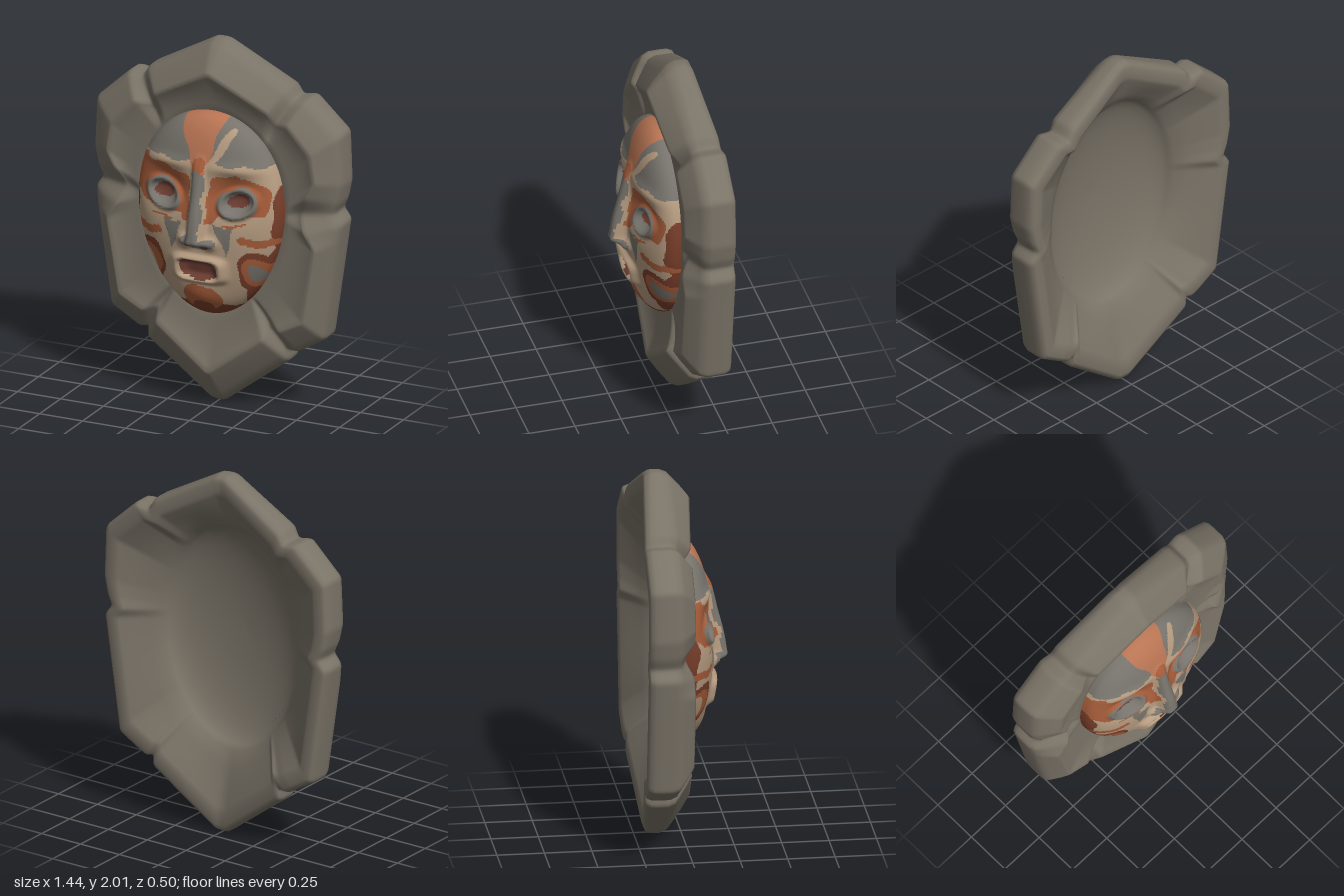
import * as THREE from 'three';

const mat = (name, color) => Object.assign(new THREE.MeshStandardMaterial({ color }), { name });
const MATS = [
  mat('stone', 0x7a7367), mat('greyPaint', 0x77736c), mat('salmonPaint', 0xb87453), mat('orangePaint', 0xa65c3a),
  mat('rustPaint', 0x783e2a), mat('beigePaint', 0xb59b80), mat('darkHollow', 0x6a3c31),
];
const [STONE, GREY, SALMON, ORANGE, RUST, BEIGE, DARK] = MATS.keys();
const CY = 1.07;
const { lerp, clamp, smoothstep } = THREE.MathUtils;
const gauss = (x, y, cx, cy, rx, ry) => Math.exp(-(((x - cx) / rx) ** 2) - ((y - cy) / ry) ** 2);
const faceWidth = (s) => 0.415 * Math.sqrt(Math.max(0, 1 - s * s)) * (1 + 0.12 * s);

// Stones of one half, bottom to top: outer x, y and ridge x, y
const HALF_STONES = [
  [[0.03, -0.005, 0.01, 0.2], [0.41, 0.28, 0.31, 0.42]],
  [[0.45, 0.33, 0.39, 0.47], [0.62, 0.43, 0.53, 0.54], [0.7, 0.98, 0.6, 0.95], [0.715, 1.08, 0.54, 1.04]],
  [[0.7, 1.2, 0.55, 1.23], [0.72, 1.3, 0.6, 1.32], [0.71, 1.575, 0.575, 1.475], [0.52, 1.75, 0.44, 1.62]],
  [[0.405, 1.795, 0.33, 1.675], [0.03, 2.005, 0.01, 1.845]],
];

// Closed rim path with a V groove between stones, resampled and softly rounded
function rimPath() {
  const half = [];
  HALF_STONES.forEach((stone, i) => {
    for (const p of stone) half.push([...p, 0.005 + 0.04 * smoothstep(Math.abs(p[3] - CY), 0.55, 0.78)]);
    const next = HALF_STONES[i + 1];
    if (!next) return;
    const [ox, oy, rx, ry] = stone.at(-1).map((v, k) => (v + next[0][k]) / 2);
    half.push([ox * 0.95, CY + (oy - CY) * 0.95, rx * 0.92, CY + (ry - CY) * 0.92, -0.045]);
  });
  const ctrl = [...half, ...half.map(([ox, oy, rx, ry, rz]) => [-ox, oy, -rx, ry, rz]).reverse()];
  let path = [];
  ctrl.forEach((a, i) => {
    const b = ctrl[(i + 1) % ctrl.length];
    const n = Math.max(2, Math.round(Math.hypot(a[0] - b[0], a[1] - b[1]) / 0.012));
    for (let k = 0; k < n; k++) path.push(a.map((v, c) => lerp(v, b[c], k / n)));
  });
  for (let pass = 0; pass < 2; pass++) {
    const n = path.length;
    path = path.map((p, i) => p.map((v, c) => (path[(i + n - 1) % n][c] + 2 * v + path[(i + 1) % n][c]) / 4));
  }
  return path;
}

// Stone surround: rings from the face edge, over the ridge and rim, into the hollow back
function buildSurround() {
  const columns = rimPath().map(([ox, oy, rx, ry, rz]) => {
    const a = Math.atan2((oy - CY) / 0.56, ox / 0.415);
    const s = Math.sin(a), ex = Math.sign(Math.cos(a)) * faceWidth(s), ey = CY + 0.56 * s;
    const zb = -0.2 - 0.05 * Math.min(1, Math.abs(ox) / 0.5);
    const col = [];
    const mix = (ax, ay, bx, by, t, z) => col.push([lerp(ax, bx, t), lerp(ay, by, t), z]);
    // front field
    mix(0, CY, ex, ey, 0.88, -0.06);
    for (const t of [0, 0.2, 0.45, 0.7, 0.9]) mix(ex, ey, rx, ry, t, rz * t - 0.032 * (1 - t ** 3));
    // ridge and chamfer
    for (const t of [0, 0.1, 0.4, 0.7, 0.9]) mix(rx, ry, ox, oy, t, lerp(rz, -0.09, t ** 1.15));
    // outer wall and rounded back edge
    mix(ox, oy, 0, CY, 0, -0.115);
    mix(ox, oy, 0, CY, 0, (-0.115 + zb) / 2);
    mix(ox, oy, 0, CY, 0.002, zb + 0.035);
    mix(ox, oy, 0, CY, 0.015, zb + 0.01);
    mix(ox, oy, 0, CY, 0.04, zb);
    mix(ox, oy, 0, CY, 0.1, zb);
    mix(ox, oy, 0, CY, 0.13, zb + 0.012);
    // slope into the oval hollow
    const bx = 0.43 * Math.cos(a), by = CY + 0.62 * Math.sin(a);
    const ix = ox * 0.87, iy = CY + (oy - CY) * 0.87;
    for (const t of [0.3, 0.65, 0.95]) mix(ix, iy, bx, by, t, lerp(zb + 0.012, -0.1, t));
    for (let k = 1; k <= 9; k++) {
      const r = Math.cos((k / 9) * Math.PI / 2);
      mix(0, CY, bx, by, Math.max(r, 0.0005), -0.1 + 0.15 * Math.sqrt(1 - r * r));
    }
    return col;
  });
  const n = columns.length, rings = columns[0].length, idx = [];
  for (let i = 0; i < n; i++) {
    for (let k = 0; k < rings - 1; k++) {
      const a = i * rings + k, d = ((i + 1) % n) * rings + k;
      idx.push(a, a + 1, d + 1, a, d + 1, d);
    }
  }
  const geo = new THREE.BufferGeometry();
  geo.setAttribute('position', new THREE.Float32BufferAttribute(columns.flat(2), 3));
  geo.setIndex(idx);
  geo.computeVertexNormals();
  return geo;
}

// Distance-like measures for eyes and mouth; 1 is the outer lid or lip line
const eyeD = (ax, y) => Math.hypot((ax - 0.215) / 0.105, (y - 1.19 - (ax - 0.215) * 0.12) / 0.08);
const mouthD = (ax, y) => ((ax / 0.135) ** 4 + (Math.abs(y - 0.805) / 0.066) ** 4) ** 0.25;

// Carved relief of the face
function faceHeight(x, y, rho2) {
  const ax = Math.abs(x);
  let z = -0.035 + 0.2 * Math.max(0, 1 - rho2) ** 0.42;
  // nose
  const t = clamp((1.37 - y) / 0.39, 0, 1);
  const fade = smoothstep(y, 0.925, 0.975) * (1 - smoothstep(y, 1.35, 1.45));
  z += (0.02 + 0.062 * t) * Math.exp(-((x / (0.032 + 0.016 * t)) ** 4)) * fade;
  z += 0.04 * gauss(ax, y, 0.072, 0.962, 0.034, 0.03);
  // eye sockets and brows
  z -= 0.055 * gauss(ax, y, 0.19, 1.22, 0.13, 0.1);
  z += 0.018 * gauss(ax, y, 0.2, 1.37, 0.14, 0.035);
  // lids, lips and chin
  const e = eyeD(ax, y), m = mouthD(ax, y);
  z += 0.028 * Math.exp(-(((e - 0.88) / 0.2) ** 2)) - 0.014 * Math.exp(-((e / 0.5) ** 4));
  z += 0.034 * Math.exp(-(((m - 0.95) / 0.22) ** 2)) - 0.02 * Math.exp(-((m / 0.65) ** 6));
  return z + 0.015 * gauss(ax, y, 0, 0.64, 0.12, 0.07);
}

// Paint shapes, tested in order with later ones on top
const oval = (cx, cy, rx, ry) => (x, y) => ((x - cx) / rx) ** 2 + ((y - cy) / ry) ** 2 < 1;
const area = (...p) => (x, y) => p.every(([ax, ay], i) => {
  const [bx, by] = p[(i + 1) % p.length];
  return (bx - ax) * (y - ay) <= (by - ay) * (x - ax);
});
const stroke = (w, ...p) => (x, y) => p.slice(1).some(([bx, by], i) => {
  const [ax, ay] = p[i], dx = bx - ax, dy = by - ay;
  const t = clamp(((x - ax) * dx + (y - ay) * dy) / (dx * dx + dy * dy), 0, 1);
  return Math.hypot(x - ax - dx * t, y - ay - dy * t) < w;
});
const both = (f) => (x, y) => f(Math.abs(x), y);
const PAINT = [
  // forehead and cheeks
  [GREY, (x, y) => y > 1.37],
  [BEIGE, both(area([0, 1.39], [0.4, 1.39], [0.38, 0.93], [0.2, 0.6], [0, 0.6]))],
  [SALMON, area([-0.165, 1.66], [0.11, 1.66], [0.04, 1.34], [-0.03, 1.34])],
  [ORANGE, oval(0.005, 1.385, 0.035, 0.04)],
  [BEIGE, stroke(0.02, [0.16, 1.56], [0.06, 1.38])],
  // around the eyes
  [ORANGE, oval(-0.28, 1.26, 0.14, 0.13)],
  [ORANGE, both((x, y) => eyeD(x, y) < 1.6)],
  [ORANGE, both(stroke(0.026, [0.2, 1.32], [0.085, 1.29], [0.07, 1.09]))],
  [BEIGE, stroke(0.018, [-0.3, 1.38], [-0.05, 1.36])],
  [RUST, both(oval(0.43, 1.08, 0.045, 0.18))],
  [BEIGE, both(stroke(0.022, [0.12, 1.09], [0.36, 1.11]))],
  [GREY, both(area([0.09, 1.06], [0.2, 1.06], [0.16, 0.9]))],
  [ORANGE, both(stroke(0.022, [0.24, 0.985], [0.38, 0.975]))],
  // jaw
  [RUST, both(oval(0.3, 0.8, 0.09, 0.13))],
  [ORANGE, both(oval(0.3, 0.8, 0.07, 0.09))],
  [BEIGE, stroke(0.024, [-0.32, 0.83], [-0.3, 0.75])],
  [GREY, oval(0.295, 0.8, 0.035, 0.055)],
  [BEIGE, both(stroke(0.032, [0.19, 0.88], [0.16, 0.63]))],
  [ORANGE, oval(0, 0.63, 0.11, 0.08)],
  [RUST, oval(0, 0.57, 0.06, 0.05)],
  // nose, mouth and eyes
  [GREY, stroke(0.035, [0, 1.32], [0, 0.98])],
  [GREY, oval(0, 0.96, 0.105, 0.035)],
  [DARK, both(oval(0.045, 0.94, 0.026, 0.014))],
  [BEIGE, both((x, y) => mouthD(x, y) < 1.15)],
  [DARK, both((x, y) => mouthD(x, y) < 0.78)],
  [GREY, both((x, y) => eyeD(x, y) < 1.05)],
  [DARK, both(oval(0.215, 1.195, 0.058, 0.037))],
];
function paintAt(x, y) {
  const wx = x + 0.006 * Math.sin(38 * y), wy = y + 0.006 * Math.sin(41 * x + 1);
  const top = PAINT.findLast(([, test]) => test(wx, wy));
  return top ? top[0] : RUST;
}

// Face as a fine oval grid whose cells are grouped by paint
function buildFace() {
  const U = 150, V = 190, pos = [], buckets = MATS.map(() => []);
  for (let i = 0; i <= V; i++) {
    const s = Math.sin((i / V - 0.5) * Math.PI), w = faceWidth(s), y = CY + 0.56 * s;
    for (let j = 0; j <= U; j++) {
      const u = Math.sin((j / U - 0.5) * Math.PI) * 0.35 + (j / U * 2 - 1) * 0.65;
      pos.push(u * w, y, faceHeight(u * w, y, s * s + u * u * (1 - s * s)));
    }
  }
  for (let i = 0; i < V; i++) {
    for (let j = 0; j < U; j++) {
      const a = i * (U + 1) + j, b = a + U + 1;
      const x = (pos[a * 3] + pos[b * 3 + 3]) / 2, y = (pos[a * 3 + 1] + pos[b * 3 + 1]) / 2;
      buckets[paintAt(x, y)].push(a, a + 1, b + 1, a, b + 1, b);
    }
  }
  const geo = new THREE.BufferGeometry();
  geo.setAttribute('position', new THREE.Float32BufferAttribute(pos, 3));
  geo.setIndex(buckets.flat());
  let start = 0;
  buckets.forEach((b, m) => {
    if (b.length) geo.addGroup(start, b.length, m);
    start += b.length;
  });
  geo.computeVertexNormals();
  return geo;
}

export function createModel() {
  const group = new THREE.Group();
  group.name = 'stoneMask';
  const surround = new THREE.Mesh(buildSurround(), MATS[STONE]);
  surround.name = 'stoneSurround';
  const face = new THREE.Mesh(buildFace(), MATS);
  face.name = 'paintedFace';
  group.add(surround, face);
  return group;
}
